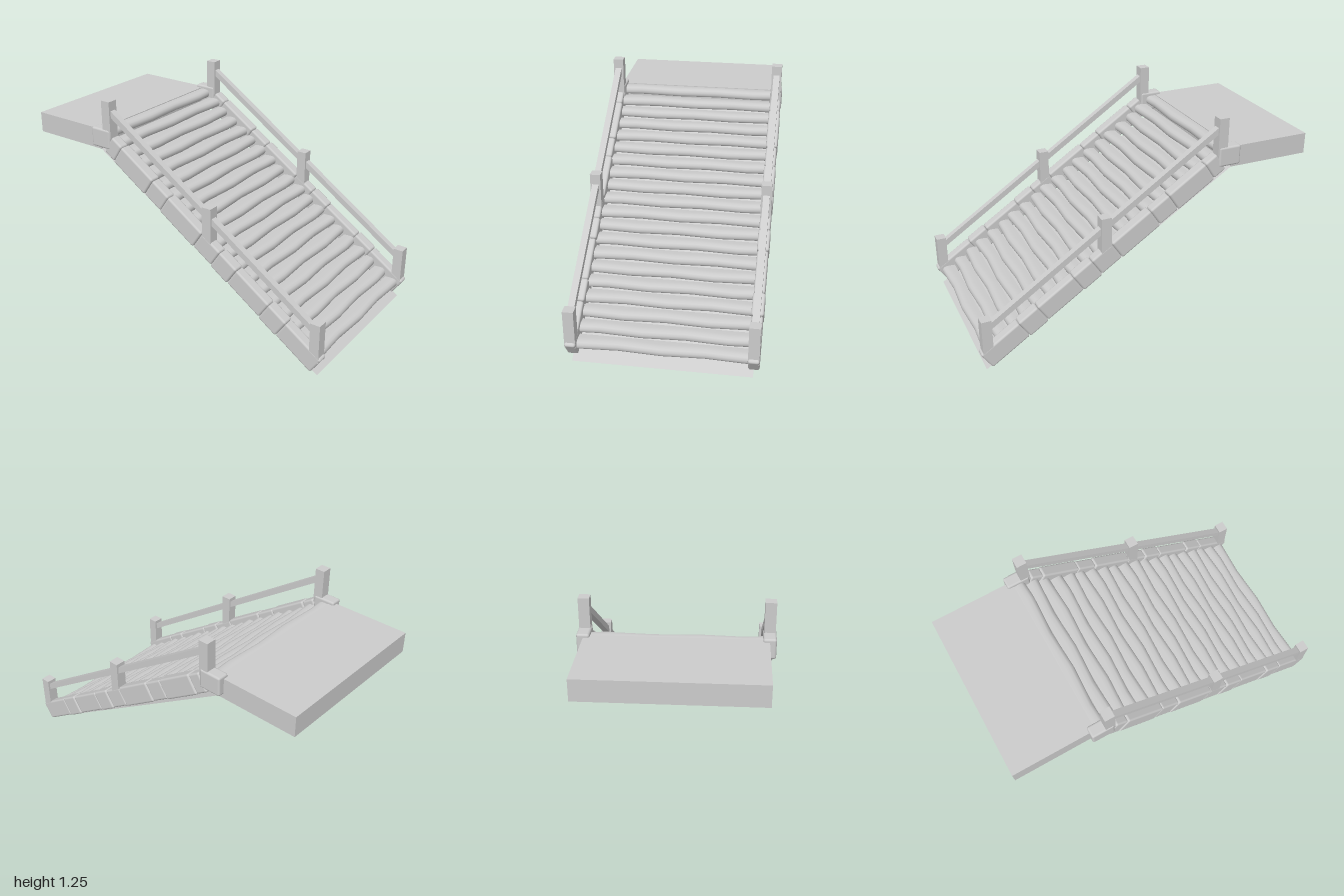
import * as THREE from 'three';
import { RoundedBoxGeometry } from 'three/addons/geometries/RoundedBoxGeometry.js';

const SLOPE = 0.662;
const ANGLE = Math.atan(SLOPE);
const STEPS = 20;
const RISE = 0.0492;
const RUN = 0.0742;

export function createModel() {
  const model = new THREE.Group();
  const stone = new THREE.MeshStandardMaterial({ color: 0xcccccc });
  const sheet = new THREE.MeshStandardMaterial({ color: 0xcccccc, side: THREE.DoubleSide });

  const add = (name, geometry, x, y, z, tilt = 0, material = stone) => {
    const mesh = new THREE.Mesh(geometry, material);
    mesh.name = name;
    mesh.position.set(x, y, z);
    mesh.rotation.x = tilt;
    model.add(mesh);
    return mesh;
  };

  // Upper landing
  add('landing', new THREE.BoxGeometry(0.98, 0.122, 0.49), 0, 1.006, -0.755);

  // Sloping sheet that closes the underside
  const bottom = new THREE.Vector3(0, 0.002, 0.97);
  const top = new THREE.Vector3(0, 0.946, -0.51);
  const mid = bottom.clone().add(top).multiplyScalar(0.5);
  const fall = Math.atan2(top.y - bottom.y, bottom.z - top.z);
  add('underside', new THREE.PlaneGeometry(0.98, bottom.distanceTo(top)),
    0, mid.y, mid.z, fall - Math.PI / 2, sheet);

  // Worn steps: one rounded profile (back of tread to foot of riser), with a wavy nose
  const profile = [[-0.078, -0.003], [-0.045, 0], [-0.022, -0.001], [-0.008, -0.008],
    [-0.001, -0.02], [0, -0.034], [-0.006, -0.046], [-0.02, -0.049]];
  for (let i = 0; i < STEPS; i++) {
    const geo = new THREE.PlaneGeometry(0.94, 1, 8, profile.length - 1);
    const pos = geo.attributes.position;
    for (let v = 0; v < pos.count; v++) {
      const row = Math.floor(v / 9);
      const x = pos.getX(v);
      const wave = row === 0 ? 0 : 0.006 * Math.cos(x * 13.5 + (i % 3) * 1.6) - 0.004;
      pos.setXYZ(v, x, profile[row][1], profile[row][0] + wave);
    }
    geo.computeVertexNormals();
    add('step', geo, 0, 0.13 + i * RISE, 0.97 - i * RUN, 0, sheet);
  }

  // Lower-edge z of the joints between side stones, long and short in turn
  const joints = [0.94, 0.72, 0.61, 0.4, 0.29, 0.17, -0.06, -0.17, -0.39, -0.46];
  const posts = [[0.96, 0.1, 0.33], [0.265, 0.55, 0.795], [-0.433, 1.04, 1.255]];

  for (const side of [-1, 1]) {
    const x = side * 0.491;

    // Sloping kerb of rounded stones
    for (let j = 0; j < joints.length - 1; j++) {
      const length = (joints[j] - joints[j + 1]) / Math.cos(ANGLE);
      const thick = j % 2 ? 0.122 : 0.116;
      const z = (joints[j] + joints[j + 1]) / 2;
      const y = 0.025 + SLOPE * (0.94 - z);
      add('kerbStone', new RoundedBoxGeometry(j % 2 ? 0.068 : 0.062, thick, length, 2, 0.012),
        x, y + Math.cos(ANGLE) * 0.06, z + Math.sin(ANGLE) * 0.06, ANGLE);
    }

    // Stone at the head of the kerb
    add('cornerStone', new RoundedBoxGeometry(0.07, 0.115, 0.135, 2, 0.012),
      x, 1.028, -0.478);

    // Posts
    for (const [z, low, high] of posts) {
      add('post', new THREE.BoxGeometry(0.06, high - low, 0.058), x, (low + high) / 2, z);
    }

    // Handrail
    const railRise = 0.668;
    add('handrail', new THREE.BoxGeometry(0.037, 0.034, 1.38 * Math.hypot(1, railRise)),
      x, 0.735, 0.2625, Math.atan(railRise));
  }
  return model;
}
